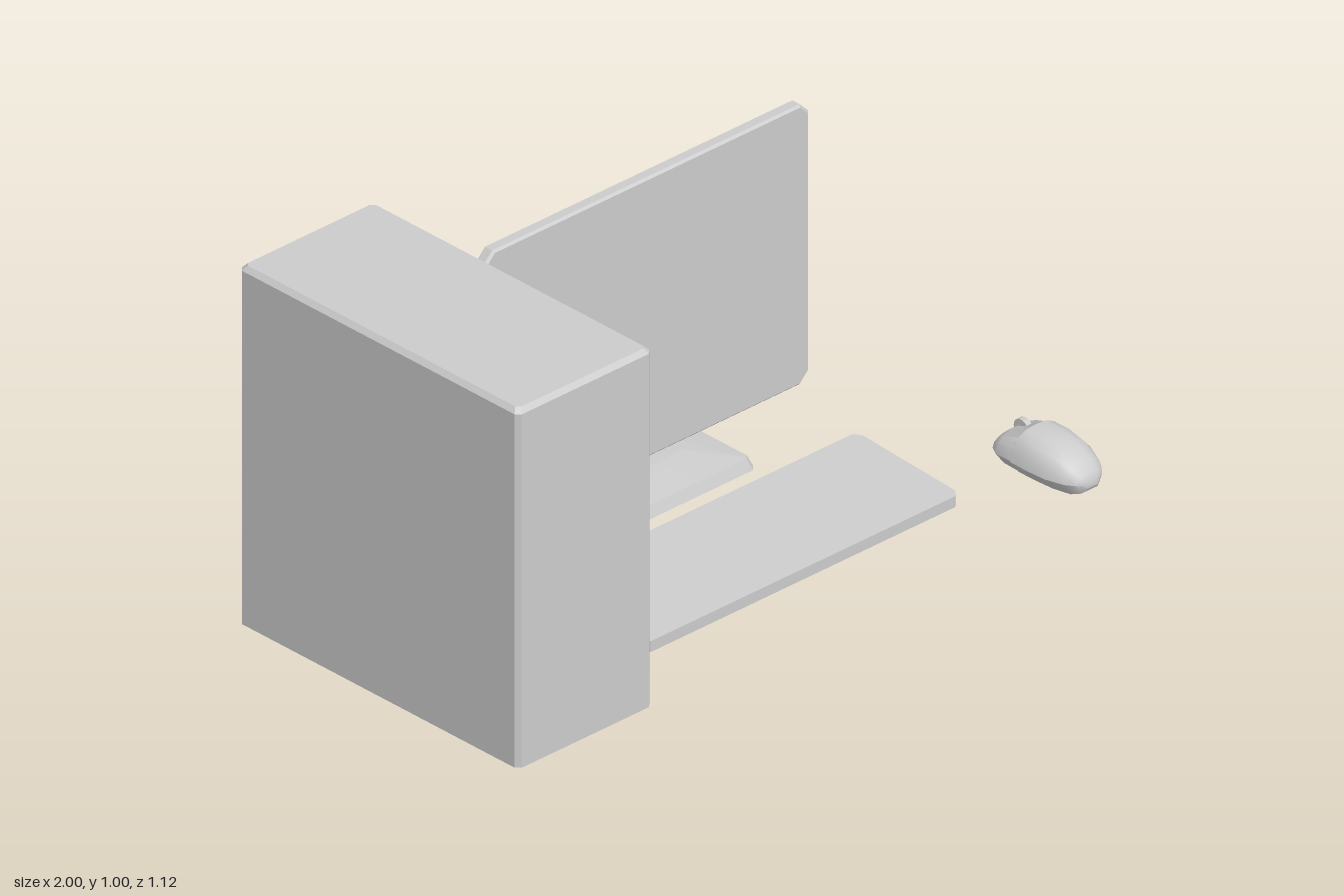
import * as THREE from 'three';
import { toCreasedNormals } from 'three/addons/utils/BufferGeometryUtils.js';

const material = new THREE.MeshStandardMaterial({ color: 0xcccccc });

// Rectangle outline with cut corners, counter-clockwise
function cutRect(u0, u1, v0, v1, c) {
  return [[u1, v0 + c], [u1, v1 - c], [u1 - c, v1], [u0 + c, v1],
    [u0, v1 - c], [u0, v0 + c], [u0 + c, v0], [u1 - c, v0]];
}

// Capped skin through rings of [x, y, z] points
function loft(rings, crease = 0.45) {
  const n = rings[0].length, last = (rings.length - 1) * n, index = [];
  for (let i = 0; i < rings.length - 1; i++) {
    for (let j = 0; j < n; j++) {
      const a = i * n + j, b = i * n + (j + 1) % n;
      index.push(a, b, b + n, a, b + n, a + n);
    }
  }
  for (let j = 1; j < n - 1; j++) {
    index.push(0, j + 1, j, last, last + j, last + j + 1);
  }
  const geo = new THREE.BufferGeometry();
  geo.setAttribute('position', new THREE.Float32BufferAttribute(rings.flat(2), 3));
  geo.setIndex(index);
  return toCreasedNormals(geo, crease);
}

// Ring lying flat: x and z extents at height y
const flatRing = (y, x0, x1, z0, z1, c) =>
  cutRect(x0, x1, -z1, -z0, c).map(([u, v]) => [u, y, -v]);

// Upright ring: x and y extents at depth z
const uprightRing = (z, x0, x1, y0, y1, c) =>
  cutRect(x0, x1, y0, y1, c).map(([u, v]) => [u, v, z]);

function part(name, geometry) {
  const mesh = new THREE.Mesh(geometry, material);
  mesh.name = name;
  return mesh;
}

function createMonitor() {
  const monitor = new THREE.Group();
  monitor.name = 'monitor';
  const cx = 0.123;

  // Panel with a tapered back
  monitor.add(part('screenPanel', loft([
    uprightRing(-0.238, -0.30, 0.545, 0.235, 0.765, 0.02),
    uprightRing(-0.203, -0.415, 0.661, 0.112, 0.89, 0.028),
    uprightRing(-0.178, -0.415, 0.661, 0.112, 0.89, 0.028),
    uprightRing(-0.172, -0.409, 0.655, 0.118, 0.884, 0.026),
  ], 0.3)));

  // Sloped foot plate
  monitor.add(part('standBase', loft([
    flatRing(0, -0.17, 0.415, -0.56, -0.095, 0.015),
    flatRing(0.03, -0.158, 0.403, -0.549, -0.108, 0.012),
    flatRing(0.053, -0.04, 0.29, -0.453, -0.21, 0.01),
  ], 0.3)));

  // Neck: height, half width, back z, front z
  const neck = [
    [0.05, 0.103, -0.42, -0.265], [0.073, 0.085, -0.38, -0.285],
    [0.30, 0.079, -0.366, -0.305], [0.45, 0.073, -0.358, -0.317],
    [0.62, 0.064, -0.347, -0.32], [0.71, 0.053, -0.336, -0.302],
    [0.795, 0.02, -0.322, -0.30], [0.805, 0.012, -0.31, -0.30],
  ];
  monitor.add(part('standNeck', loft(
    neck.map(([y, w, z0, z1]) => flatRing(y, cx - w, cx + w, z0, z1, 0.004)), 0.3)));

  // Eight-sided hinge barrel with recessed ends
  const profile = [[0, -0.08], [0.033, -0.08], [0.033, -0.115], [0.042, -0.115], [0.05, -0.106],
    [0.05, 0.106], [0.042, 0.115], [0.033, 0.115], [0.033, 0.08], [0, 0.08]];
  const hinge = part('hinge', toCreasedNormals(
    new THREE.LatheGeometry(profile.map(([r, y]) => new THREE.Vector2(r, y)), 8, Math.PI / 8), 0.5));
  hinge.rotation.z = Math.PI / 2;
  hinge.position.set(cx, 0.458, -0.281);
  monitor.add(hinge);
  return monitor;
}

function createMouse() {
  const mouse = new THREE.Group();
  mouse.name = 'mouse';
  const cx = 0.91;

  // Sections: z, half width, bottom, widest height, top
  const sections = [
    [0.254, 0.035, 0.028, 0.037, 0.044], [0.27, 0.062, 0.012, 0.038, 0.066],
    [0.30, 0.08, 0.004, 0.04, 0.09], [0.353, 0.083, 0.004, 0.043, 0.110],
    [0.356, 0.086, 0.004, 0.043, 0.114], [0.41, 0.086, 0.004, 0.042, 0.115],
    [0.47, 0.08, 0.004, 0.04, 0.104], [0.52, 0.062, 0.004, 0.038, 0.08],
    [0.543, 0.042, 0.01, 0.036, 0.058], [0.552, 0.024, 0.022, 0.034, 0.042],
  ];
  const rings = sections.map(([z, w, y0, mid, top]) => {
    const rise = top - mid;
    const half = [[0.66 * w, y0], [w, mid], [0.9 * w, mid + 0.48 * rise],
      [0.68 * w, mid + 0.8 * rise], [0.36 * w, mid + 0.97 * rise]];
    const outline = [...half, [0, top], ...half.map(([x, y]) => [-x, y]).reverse()];
    return outline.map(([x, y]) => [cx + x, y, z]);
  });
  mouse.add(part('mouseBody', loft(rings, 0.6)));

  // Scroll wheel between the buttons
  const wheel = part('scrollWheel', toCreasedNormals(new THREE.CylinderGeometry(0.025, 0.025, 0.016, 14), 0.6));
  wheel.rotation.z = Math.PI / 2;
  wheel.position.set(cx, 0.087, 0.312);
  mouse.add(wheel);
  return mouse;
}

export function createModel() {
  const model = new THREE.Group();
  model.name = 'desktopComputer';

  // Tower case with bevelled top edge
  model.add(part('towerCase', loft([
    flatRing(0, -1, -0.552, -0.42, 0.557, 0.013),
    flatRing(0.982, -1, -0.552, -0.42, 0.557, 0.013),
    flatRing(0.995, -0.988, -0.564, -0.408, 0.545, 0.01),
  ])));

  model.add(createMonitor());

  // Keyboard: wedge rising toward the back
  const slope = (ring) => ring.map(([x, , z]) => [x, 0.053 - 0.055 * (z - 0.01), z]);
  const outline = flatRing(0.003, -0.4, 0.645, 0.01, 0.372, 0.018);
  model.add(part('keyboard', loft([outline, slope(outline)])));

  model.add(createMouse());
  return model;
}
